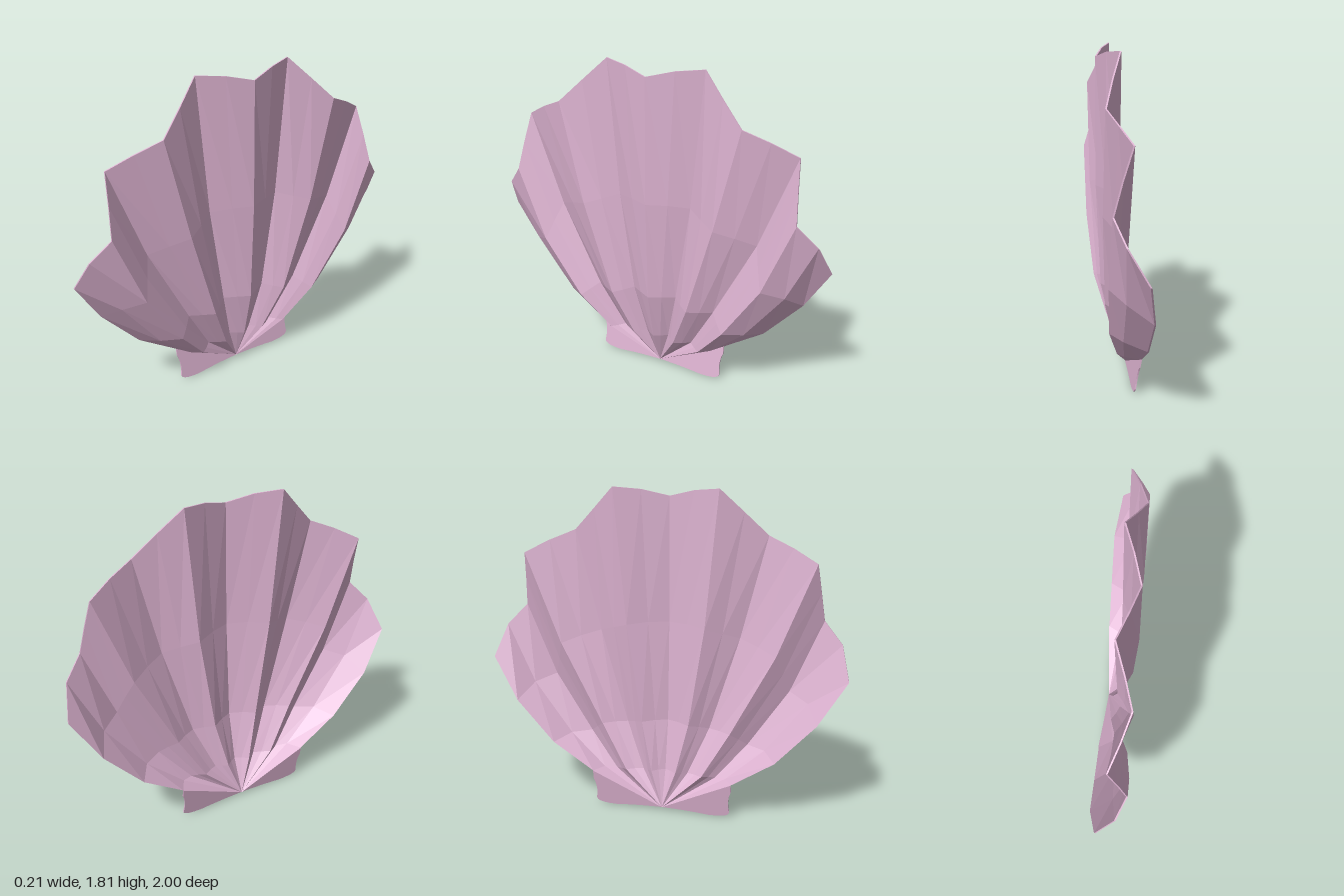
import * as THREE from 'three';

const THICK = 0.008;
const APEX = [-0.068, 0.018, 0];

// Folds from the middle to the side: [z, y] on four growth rings, hinge to rim.
const FOLDS = [
  [[0, 0.22], [0, 0.50], [0, 1.07], [0, 1.76]],
  [[0.07, 0.22], [0.135, 0.50], [0.22, 1.06], [0.29, 1.81]],
  [[0.13, 0.21], [0.24, 0.47], [0.40, 1.00], [0.54, 1.565]],
  [[0.22, 0.215], [0.37, 0.47], [0.61, 0.93], [0.81, 1.44]],
  [[0.29, 0.20], [0.46, 0.395], [0.68, 0.72], [0.85, 1.125]],
  [[0.40, 0.212], [0.635, 0.365], [0.85, 0.60], [1.0, 0.84]],
];
// Depth of ridges, valleys and the side edge on each ring.
const RIDGE = [0.015, 0.075, 0.1, 0.1];
const VALLEY = [-0.035, 0, 0.003, 0.002];
const EDGE = [-0.095, -0.098, -0.096, -0.053];

function foldPoint(k, ring) {
  const [z, y] = FOLDS[k][ring];
  const depth = k === 5 ? EDGE : k % 2 ? VALLEY : RIDGE;
  return [depth[ring], y, z];
}

// Column -10..10 across the fan; odd columns lie between two folds.
function shellPoint(col, row) {
  if (row === 0) return APEX;
  const c = Math.abs(col), k = Math.floor(c / 2), ring = row - 1;
  let p = foldPoint(k, ring);
  if (c % 2) {
    const q = foldPoint(k + 1, ring);
    const swell = [1.006, 1, 1.004, 1, 1.03][k];
    p = p.map((v, i) => ((v + q[i]) / 2) * (i ? swell : 1));
    p[0] += k === 4 ? 0.025 : 0.004;
  }
  return [p[0], p[1], col < 0 ? -p[2] : p[2]];
}

function shellGeometry() {
  const pos = [];
  const back = (p) => [p[0] - THICK, p[1], p[2]];
  const tri = (a, b, c) => pos.push(...a, ...b, ...c);

  // Front and back skins
  for (let i = -10; i < 10; i++) {
    for (let j = 0; j < 4; j++) {
      const a = shellPoint(i, j), b = shellPoint(i, j + 1);
      const c = shellPoint(i + 1, j + 1), d = shellPoint(i + 1, j);
      tri(a, b, c);
      tri(back(a), back(c), back(b));
      if (j > 0) {
        tri(a, c, d);
        tri(back(a), back(d), back(c));
      }
    }
  }

  // Thin edge around the outline
  const loop = [];
  for (let i = -10; i <= 10; i++) loop.push(shellPoint(i, 4));
  for (let j = 3; j >= 0; j--) loop.push(shellPoint(10, j));
  for (let j = 1; j < 4; j++) loop.push(shellPoint(-10, j));
  loop.forEach((p, i) => {
    const q = loop[(i + 1) % loop.length];
    tri(back(p), back(q), p);
    tri(p, back(q), q);
  });

  const geo = new THREE.BufferGeometry();
  geo.setAttribute('position', new THREE.Float32BufferAttribute(pos, 3));
  geo.computeVertexNormals();
  return geo;
}

// One small wing beside the hinge, leaning back towards its top.
function earGeometry(side) {
  const s = new THREE.Shape();
  s.moveTo(0, 0.018);
  s.quadraticCurveTo(side * 0.15, 0.016, side * 0.27, 0.003);
  s.quadraticCurveTo(side * 0.39, 0.002, side * 0.39, 0.035);
  s.quadraticCurveTo(side * 0.375, 0.11, side * 0.40, 0.165);
  s.lineTo(side * 0.40, 0.212);
  s.closePath();
  const geo = new THREE.ExtrudeGeometry(s, { depth: THICK, bevelEnabled: false, curveSegments: 5 });
  geo.rotateY(Math.PI / 2);
  const p = geo.attributes.position;
  for (let i = 0; i < p.count; i++) {
    p.setX(i, p.getX(i) - THICK - 0.062 - 0.17 * p.getY(i));
  }
  geo.computeVertexNormals();
  return geo;
}

export function createModel() {
  const group = new THREE.Group();
  group.name = 'scallopShell';
  const material = new THREE.MeshStandardMaterial({ color: 0xdcb2d0, flatShading: true });
  const add = (name, geo) => {
    const mesh = new THREE.Mesh(geo, material);
    mesh.name = name;
    group.add(mesh);
  };
  add('ribbedFan', shellGeometry());
  add('frontHingeEar', earGeometry(-1));
  add('backHingeEar', earGeometry(1));
  return group;
}
